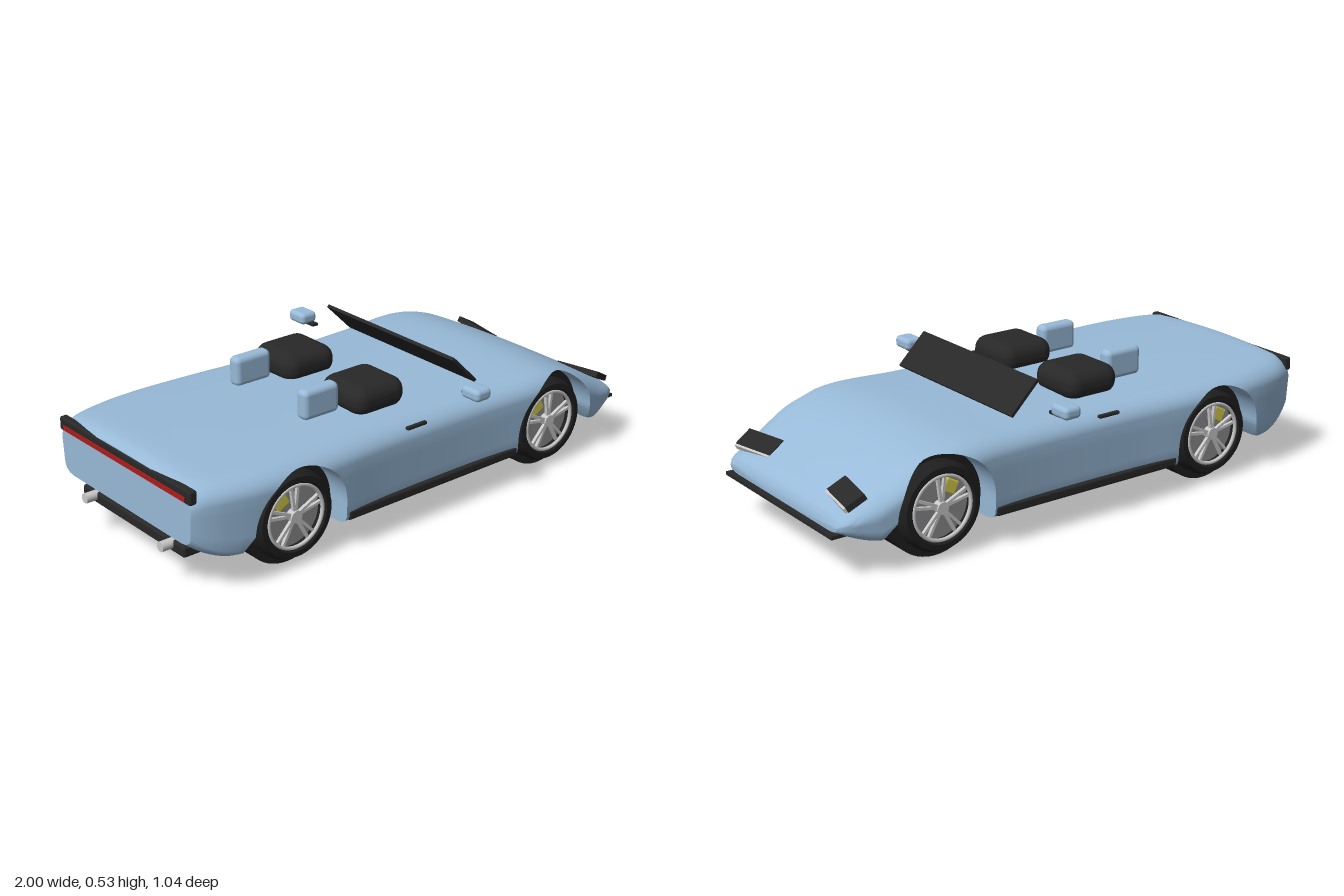
import * as THREE from 'three';
import { toCreasedNormals } from 'three/addons/utils/BufferGeometryUtils.js';
import { RoundedBoxGeometry } from 'three/addons/geometries/RoundedBoxGeometry.js';

const mat = (name, color, side = THREE.FrontSide) => {
  const m = new THREE.MeshStandardMaterial({ color, side });
  m.name = name;
  return m;
};

// Wheel centres, axle height and wheel arch radius
const REAR = -0.58, FRONT = 0.605, AXLE = 0.185, ARCH = 0.19, SKIRT = 0.04;

// Body tables: [x, value]
const TOP = [[-0.98, 0.398], [-0.94, 0.415], [-0.8, 0.418], [-0.4, 0.414], [0, 0.41], [0.3, 0.41], [0.5, 0.412],
  [0.6, 0.402], [0.7, 0.372], [0.8, 0.322], [0.9, 0.266], [0.96, 0.23], [0.98, 0.205]];
const WIDTH = [[-0.98, 0.378], [-0.95, 0.395], [-0.88, 0.42], [-0.75, 0.445], [-0.6, 0.452], [-0.4, 0.446], [-0.2, 0.434],
  [0.1, 0.43], [0.3, 0.436], [0.5, 0.45], [0.7, 0.448], [0.83, 0.425], [0.93, 0.395], [0.965, 0.375], [0.98, 0.355]];
const FLOOR = [[-0.98, 0.19], [-0.93, 0.155], [-0.86, 0.127], [-0.8, 0.12], [-0.7, 0.105], [-0.4, 0.1], [0.4, 0.1],
  [0.7, 0.108], [0.84, 0.122], [0.9, 0.135], [0.98, 0.168]];

// Smooth interpolation through a table
function at(table, x) {
  const n = table.length;
  const slope = (i) => {
    const a = table[Math.max(i - 1, 0)], b = table[Math.min(i + 1, n - 1)];
    return (b[1] - a[1]) / (b[0] - a[0]);
  };
  let i = 0;
  while (i < n - 2 && x > table[i + 1][0]) i++;
  const h = table[i + 1][0] - table[i][0];
  const t = THREE.MathUtils.clamp((x - table[i][0]) / h, 0, 1), t2 = t * t, t3 = t2 * t;
  return (2 * t3 - 3 * t2 + 1) * table[i][1] + (t3 - 2 * t2 + t) * h * slope(i)
    + (3 * t2 - 2 * t3) * table[i + 1][1] + (t3 - t2) * h * slope(i + 1);
}

// Half cross-section from the floor centre round the side to the roof centre
function halfSection(x, archY) {
  const top = at(TOP, x), floor = at(FLOOR, x), w = at(WIDTH, x), h = top - floor;
  const crown = 0.05 * h, ry = Math.min(0.07, h * 0.42), rz = 0.1, lr = Math.min(0.03, h * 0.25);
  const shoulder = top - crown - ry;
  const lo = Math.max(floor, archY);
  const zOf = (y) => {
    const lean = 0.016 * Math.max(0, (shoulder - y) / h);
    if (y < floor + lr) {
      const k = (floor + lr - y) / lr;
      return w - lean - 0.05 * (1 - Math.sqrt(Math.max(0, 1 - k * k)));
    }
    if (y > shoulder) {
      const k = Math.min(1, (y - shoulder) / ry);
      return w - rz + rz * Math.sqrt(Math.max(0, 1 - k * k));
    }
    return w - lean;
  };
  const pts = [[floor, 0], [floor, 0.125], [lo, 0.125]];
  const heights = [0, 0.13, 0.5, 1].map((k) => floor + lr * k);
  for (let i = 1; i <= 4; i++) heights.push(THREE.MathUtils.lerp(floor + lr, shoulder, i / 4));
  for (let i = 1; i <= 8; i++) heights.push(shoulder + ry * Math.sin(i * Math.PI / 16));
  heights.forEach((v) => { const y = Math.max(v, lo); pts.push([y, zOf(y)]); });
  const zEdge = w - rz;
  for (let i = 1; i <= 6; i++) {
    const z = zEdge * (1 - i / 6);
    pts.push([top - crown * (z / zEdge) ** 2, z]);
  }
  return pts;
}

// Body shell lofted along x, with the wheel arches cut into its lower edge
function bodyGeometry() {
  const stations = [];
  const run = (a, b, n) => { for (let i = 0; i <= n; i++) stations.push([a + (b - a) * i / n, 0]); };
  const arch = (c) => {
    for (let i = 0; i <= 28; i++) {
      const a = Math.PI * (1 - i / 28);
      stations.push([c + ARCH * Math.cos(a), AXLE + ARCH * Math.sin(a)]);
    }
  };
  run(-0.98, REAR - ARCH - SKIRT, 10);
  arch(REAR);
  run(REAR + ARCH, FRONT - ARCH, 20);
  arch(FRONT);
  run(FRONT + ARCH + SKIRT, 0.98, 10);

  const pos = [], idx = [];
  let n = 0;
  stations.forEach(([x, archY]) => {
    const half = halfSection(x, archY);
    const ring = [...half, ...half.slice(1, -1).reverse().map(([y, z]) => [y, -z])];
    n = ring.length;
    ring.forEach(([y, z]) => pos.push(x, y, z));
  });
  const last = (stations.length - 1) * n;
  for (let s = 0; s < stations.length - 1; s++) {
    for (let i = 0; i < n; i++) {
      const j = (i + 1) % n, a = s * n + i, b = s * n + j;
      idx.push(a, a + n, b + n, a, b + n, b);
    }
  }
  for (let i = 1; i < n - 1; i++) idx.push(0, i, i + 1, last, last + i + 1, last + i);
  const g = new THREE.BufferGeometry();
  g.setAttribute('position', new THREE.Float32BufferAttribute(pos, 3));
  g.setIndex(idx);
  return toCreasedNormals(g, 0.7);
}

export function createModel() {
  const car = new THREE.Group();
  car.name = 'roadster';
  const paint = mat('bodyBlue', 0x98bad8), black = mat('trimBlack', 0x282828);
  const rubber = mat('tyreBlack', 0x1e1e1e, THREE.DoubleSide), silver = mat('silver', 0xc9c9c9);
  const grey = mat('discGrey', 0x8c8c8e), yellow = mat('caliperYellow', 0xd2c94a), red = mat('lampRed', 0xb01c1c);

  const add = (name, geo, m, x = 0, y = 0, z = 0, parent = car) => {
    const mesh = new THREE.Mesh(geo, m);
    mesh.name = name;
    mesh.position.set(x, y, z);
    parent.add(mesh);
    return mesh;
  };
  const box = (w, h, d) => new THREE.BoxGeometry(w, h, d);
  const round = (w, h, d, r) => new RoundedBoxGeometry(w, h, d, 4, r);
  const disc = (r, d, seg = 48) => new THREE.CylinderGeometry(r, r, d, seg).rotateX(Math.PI / 2);
  const lathe = (pts) => toCreasedNormals(
    new THREE.LatheGeometry(pts.map(([r, z]) => new THREE.Vector2(r, z)), 48).rotateX(Math.PI / 2), 0.5);

  add('body', bodyGeometry(), paint);

  // Windscreen
  add('windscreen', box(0.155, 0.012, 0.688), black, 0.226, 0.47, 0).rotation.z = -Math.PI / 4;

  // Nose splitter, rear diffuser and tail lamp
  add('splitter', box(0.1, 0.012, 0.71), black, 0.95, 0.161, 0);
  add('diffuser', round(0.13, 0.042, 0.6, 0.01), black, -0.895, 0.138, 0);
  add('tailPanel', round(0.03, 0.05, 0.765, 0.008), black, -0.97, 0.37, 0);
  add('tailLamp', box(0.006, 0.018, 0.71), red, -0.985, 0.361, 0);

  // Everything that exists once per side is built on +z and mirrored
  for (const s of [1, -1]) {
    const side = new THREE.Group();
    side.name = s > 0 ? 'nearSide' : 'farSide';
    side.scale.z = s;
    car.add(side);

    // Cockpit
    add('seat', round(0.225, 0.11, 0.225, 0.05), black, -0.113, 0.44, 0.19, side);
    add('headrest', round(0.153, 0.11, 0.055, 0.02), paint, -0.313, 0.457, 0.19, side);

    // Flank details
    add('sill', round(0.79, 0.034, 0.022, 0.008), black, 0.015, 0.132, 0.427, side);
    add('doorHandle', round(0.088, 0.012, 0.016, 0.004), black, -0.072, 0.373, 0.425, side);
    add('mirrorStalk', box(0.024, 0.01, 0.06), black, 0.163, 0.43, 0.44, side);
    add('mirror', round(0.07, 0.044, 0.088, 0.016), paint, 0.155, 0.45, 0.477, side);

    // Headlight
    const lamp = new THREE.Group();
    lamp.name = 'headlight';
    lamp.position.set(0.896, 0.267, 0.285);
    lamp.rotation.set(0, 0.2, -0.51, 'YZX');
    side.add(lamp);
    add('headlightCover', box(0.075, 0.022, 0.178), black, 0, 0, 0, lamp);
    add('headlightStrip', box(0.012, 0.018, 0.174), silver, 0.04, 0, 0, lamp);

    // Exhaust
    add('exhaust', new THREE.CylinderGeometry(0.018, 0.018, 0.06, 24).rotateZ(Math.PI / 2), silver, -0.97, 0.145, 0.225, side);

    for (const c of [REAR, FRONT]) {
      const wheel = new THREE.Group();
      wheel.name = c < 0 ? 'rearWheel' : 'frontWheel';
      wheel.position.set(c, AXLE, 0);
      side.add(wheel);
      add('innerWheel', disc(0.185, 0.225, 64), rubber, 0, 0, 0.2425, wheel);
      add('tyre', lathe([[0.157, 0.35], [0.157, 0.388], [0.145, 0.41], [0.125, 0.411], [0.116, 0.4], [0.116, 0.36]]),
        rubber, 0, 0, 0, wheel);
      add('brakeDisc', disc(0.117, 0.01), grey, 0, 0, 0.37, wheel);
      add('rimEdge', new THREE.TorusGeometry(0.113, 0.007, 8, 48), silver, 0, 0, 0.401, wheel);
      add('caliper', new RoundedBoxGeometry(0.055, 0.05, 0.014, 2, 0.006), yellow, -0.045, 0.06, 0.38, wheel).rotation.z = 0.5;
      add('hub', disc(0.022, 0.03, 24), silver, 0, 0, 0.393, wheel);
      // Five pairs of spokes
      for (let i = 0; i < 5; i++) {
        for (const k of [-1, 1]) {
          const a = Math.PI / 2 + i * Math.PI * 0.4 + k * 0.13;
          const spoke = add('spoke', box(0.096, 0.01, 0.012), silver, Math.cos(a) * 0.062, Math.sin(a) * 0.062, 0.395, wheel);
          spoke.rotation.z = a;
        }
      }
    }
  }
  return car;
}
